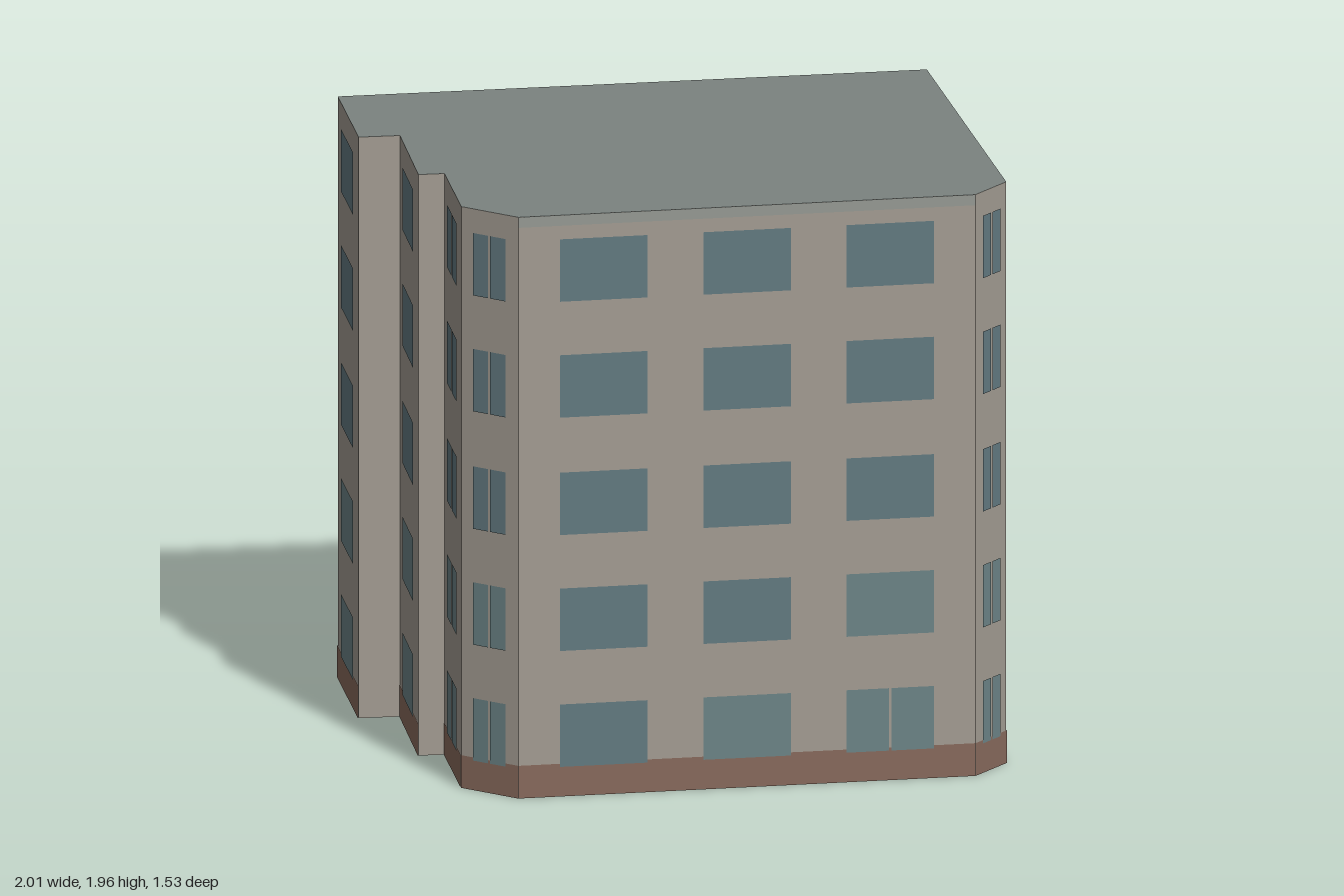
import * as THREE from 'three';

const H = 1.955; // building height
const mat = (color, side = THREE.FrontSide) => new THREE.MeshStandardMaterial({ color, side });
const wallMat = mat(0xa39c92, THREE.DoubleSide);
const roofMat = mat(0x7b8380, THREE.DoubleSide);
const plinthMat = mat(0x886a5c);
const corniceMat = mat(0x969a94);
const glassMat = mat(0x637a81);
const paleGlassMat = mat(0x6c8487);

// footprint [x, z], each wall running left to right as seen from outside
const footprint = [
  [-0.785, 0.61], [-0.62, 0.76], [0.88, 0.705], [1, 0.57], [0.93, -0.765],
  [-1, -0.72], [-1, -0.24], [-0.865, -0.24], [-0.87, 0.22], [-0.785, 0.22],
];
const rowBottoms = [0.1, 0.49, 0.88, 1.275, 1.665];
const windowHeight = 0.21;

// upright panel centred at x, rising from y0 to y1, a little in front of the wall
function addPanel(parent, name, material, x, width, y0, y1, offset) {
  const panel = new THREE.Mesh(new THREE.PlaneGeometry(width, y1 - y0), material);
  panel.name = name;
  panel.position.set(x, (y0 + y1) / 2, offset);
  parent.add(panel);
}

// which panes are split by a narrow centre gap
function isSplit(bays, col, row) {
  if (bays === 1) return true;
  return bays === 2 ? row < 3 : row === 0 && col === 2;
}

function addWindows(wall, length, bays) {
  const bay = (length * 0.94) / bays;
  const width = bay * 0.61;
  const gap = 0.008;
  rowBottoms.forEach((y, row) => {
    for (let col = 0; col < bays; col++) {
      const x = (col - (bays - 1) / 2) * bay;
      const glass = col - row >= bays - 2 ? paleGlassMat : glassMat;
      if (isSplit(bays, col, row)) {
        const half = (width - gap) / 2;
        for (const s of [-1, 1])
          addPanel(wall, 'windowPane', glass, x + s * (half + gap) / 2, half, y, y + windowHeight, 0.004);
      } else {
        addPanel(wall, 'window', glass, x, width, y, y + windowHeight, 0.004);
      }
    }
  });
}

export function createModel() {
  const model = new THREE.Group();
  model.name = 'building';

  // walls; the short step returns stay plain
  footprint.forEach(([x0, z0], i) => {
    const [x1, z1] = footprint[(i + 1) % footprint.length];
    const dx = x1 - x0, dz = z1 - z0;
    const length = Math.hypot(dx, dz);
    const wall = new THREE.Group();
    wall.name = 'wall' + (i + 1);
    wall.position.set((x0 + x1) / 2, 0, (z0 + z1) / 2);
    wall.rotation.y = Math.atan2(-dz, dx);
    addPanel(wall, 'wallSurface', wallMat, 0, length, 0, H, 0);
    if (length > 0.15) {
      addPanel(wall, 'plinth', plinthMat, 0, length, 0, 0.11, 0.002);
      addWindows(wall, length, length > 1.4 ? 3 : length > 1 ? 2 : 1);
    }
    // cornice strip on the main facade
    if (i === 1) addPanel(wall, 'cornice', corniceMat, 0, length, H - 0.035, H, 0.002);
    model.add(wall);
  });

  // flat roof; the underside is left open
  const outline = new THREE.Shape(footprint.map(([x, z]) => new THREE.Vector2(x, -z)));
  const roof = new THREE.Mesh(new THREE.ShapeGeometry(outline), roofMat);
  roof.name = 'roof';
  roof.rotation.x = -Math.PI / 2;
  roof.position.y = H;
  model.add(roof);

  return model;
}
